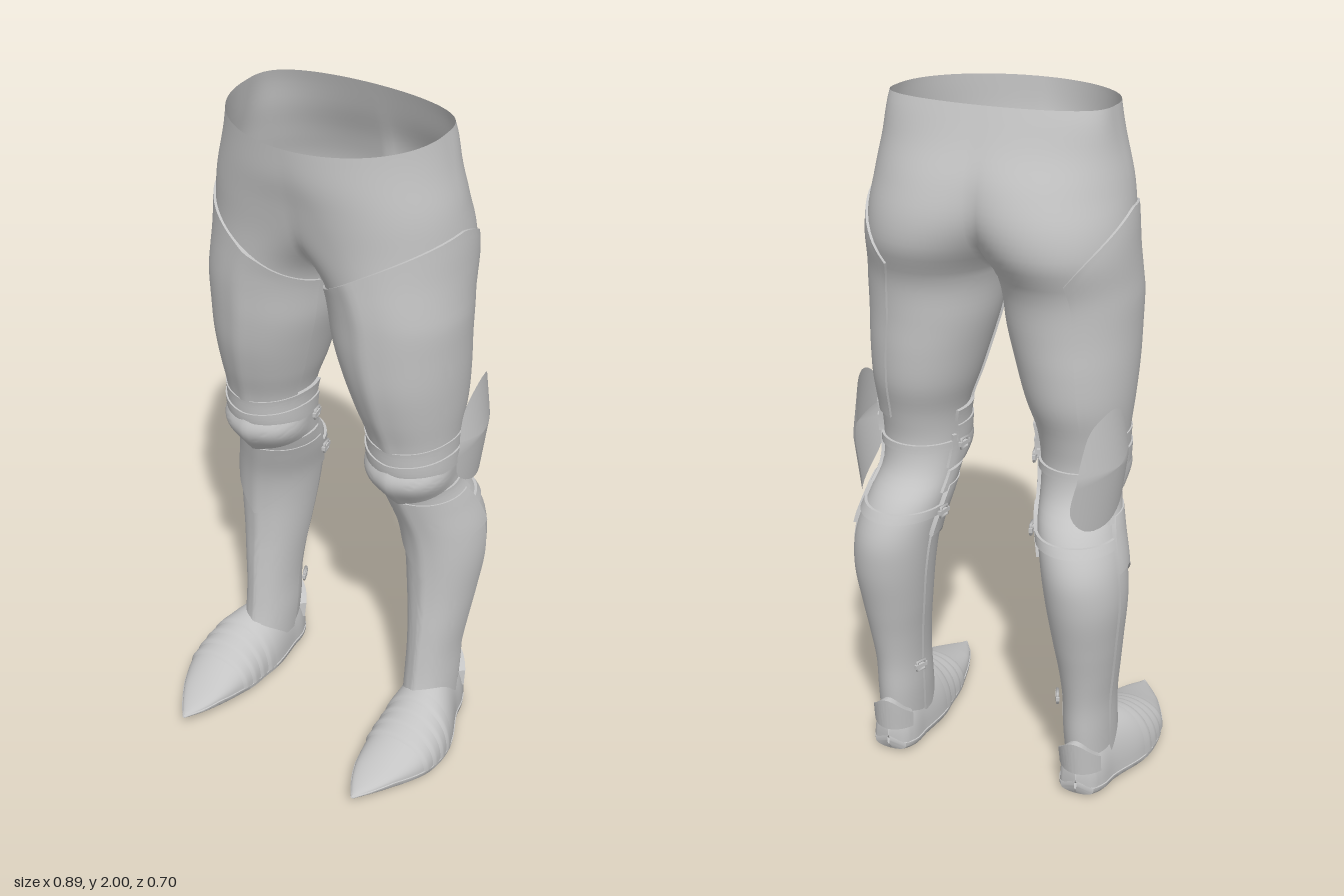
import * as THREE from 'three';
import { toCreasedNormals } from 'three/addons/utils/BufferGeometryUtils.js';

// y, centre x, radius x, front z, back z of one half of the hips and leg
const LEG = [
  [2, 0, .305, .21, -.22], [1.9, .03, .295, .2, -.255], [1.8, .08, .27, .18, -.295],
  [1.7, .125, .24, .163, -.318], [1.62, .16, .21, .155, -.312], [1.57, .178, .195, .152, -.29],
  [1.53, .188, .188, .15, -.272], [1.5, .193, .186, .148, -.264], [1.4, .2, .178, .14, -.257],
  [1.3, .213, .163, .126, -.255], [1.2, .225, .145, .1, -.245], [1.1, .237, .123, .068, -.215],
  [1, .24, .115, .052, -.2], [.92, .242, .108, .01, -.22], [.85, .257, .112, -.014, -.28],
  [.75, .282, .114, -.042, -.324], [.65, .294, .111, -.054, -.325], [.5, .297, .094, -.054, -.295],
  [.4, .298, .081, -.046, -.272], [.3, .297, .071, -.037, -.255], [.2, .297, .07, -.026, -.25],
  [.08, .3, .066, 0, -.24],
];
// z, centre x, half width, top y, sole y of the foot
const FOOT = [
  [-.258, .3, .001, .08, .03], [-.25, .3, .035, .11, .012], [-.22, .3, .06, .16, .002],
  [-.14, .305, .078, .2, 0], [-.03, .322, .108, .19, 0], [.03, .33, .111, .165, .001],
  [.1, .331, .109, .137, .005], [.15, .33, .1, .116, .012], [.22, .322, .076, .088, .02],
  [.29, .314, .041, .063, .031], [.347, .31, .002, .044, .038],
];
const interpolate = (rows) => {
  const sorted = [...rows].sort((a, b) => a[0] - b[0]);
  const it = new THREE.CubicInterpolant(sorted.map(r => r[0]), sorted.flatMap(r => r.slice(1)), 4);
  return k => [...it.evaluate(k)];
};
const legAt = interpolate(LEG), footAt = interpolate(FOOT);
const { clamp, lerp, smoothstep } = THREE.MathUtils, HALF = Math.PI / 2;

// Point on the leg: t = 0 outer side, PI/2 front, PI inner side, -PI/2 back
function legPoint(y, t, off = 0) {
  const [cx, rx, zf, zb] = legAt(y);
  const c = Math.cos(t), s = Math.sin(t), waist = smoothstep(y, 1.75, 2);
  const x = Math.max(0, cx + (rx + off) * c);
  // The waist is flatter at the back; the belly is full between the hips
  const cz = (zf + zb) / 2 - .045 * waist;
  const power = s < 0 ? 1 - .45 * waist : c < 0 ? 1 - .7 * smoothstep(y, 1.55, 1.75) : 1;
  const z = cz + (s > 0 ? zf - cz + off : zb - cz - off) * Math.pow(Math.abs(s), power);
  return [x, y - (z + .22) * .045 * smoothstep(y, 1.8, 2), z];
}

// Surface over a grid of u, v in 0..1
function grid(nu, nv, fn) {
  const pos = [], idx = [], w = nu + 1;
  for (let j = 0; j <= nv; j++) for (let i = 0; i <= nu; i++) pos.push(...fn(i / nu, j / nv, i, j));
  for (let j = 0; j < nv; j++) for (let i = 0; i < nu; i++) {
    const a = j * w + i, d = a + w;
    idx.push(a, a + 1, d, a + 1, d + 1, d);
  }
  const g = new THREE.BufferGeometry();
  g.setAttribute('position', new THREE.Float32BufferAttribute(pos, 3));
  g.setIndex(idx);
  g.computeVertexNormals();
  return g;
}

// Plate following the leg, its outer border turned in to form an edge
function plate(t0, t1, top, bottom, off, nu = 40, nv = 16) {
  const g = grid(nu, nv, (_u, _v, i, j) => {
    const u = clamp((i - 1) / (nu - 2), 0, 1), v = clamp((j - 1) / (nv - 2), 0, 1);
    const t = lerp(t0, t1, u), y = lerp(top(t), bottom(t), v);
    const edge = i === 0 || j === 0 || i === nu || j === nv;
    return legPoint(y, t, edge ? -.003 : off(t, v));
  });
  return toCreasedNormals(g, .7);
}

// Half of the hips flowing into one leg; the section closes at the crotch
function bodyGeometry() {
  const nu = 48, nv = 90;
  const g = grid(nu, nv, (u, v) => {
    const y = 2 - 1.92 * v, [cx, rx] = legAt(y);
    const limit = y > 1.53 ? Math.PI - Math.acos(clamp(cx / rx, 0, 1)) : Math.PI;
    const p = legPoint(y, (2 * u - 1) * limit);
    if (y > 1.53 && (u === 0 || u === 1)) p[0] = 0;
    return p;
  });
  // Smooth the seam down the inside of the leg and the middle of the hips
  const n = g.attributes.normal, a = new THREE.Vector3(), b = new THREE.Vector3();
  for (let j = 0; j <= nv; j++) {
    const p = j * (nu + 1), q = p + nu;
    a.fromBufferAttribute(n, p); b.fromBufferAttribute(n, q);
    if (2 - 1.92 * j / nv > 1.53) { a.setX(0).normalize(); b.setX(0).normalize(); }
    else { a.add(b).normalize(); b.copy(a); }
    n.setXYZ(p, a.x, a.y, a.z); n.setXYZ(q, b.x, b.y, b.z);
  }
  return g;
}

const rimHeight = (top, sole) => Math.min(sole + .03, (top + sole) / 2);
// Domed foot cover between two z positions
function footCover(z0, z1, nv, off) {
  return grid(28, nv, (u, v) => {
    const z = lerp(z0, z1, v), [xc, hw, top, sole] = footAt(z);
    const a = Math.PI * u, o = off(v), b = rimHeight(top, sole);
    return [xc + (hw + o) * Math.cos(a), b + (top + o - b) * Math.pow(Math.max(0, Math.sin(a)), .85), z];
  });
}
function soleGeometry() {
  return toCreasedNormals(grid(32, 40, (u, v) => {
    const z = lerp(-.258, .347, v), [xc, hw, top, sole] = footAt(z);
    const b = rimHeight(top, sole), a = u * Math.PI * 2, s = Math.sin(a);
    const y = s > 0 ? b + .005 * s : b - (b - sole) * Math.sqrt(-s);
    return [xc + (hw + .003) * Math.cos(a), y, z];
  }), .7);
}

// Two-lobed wing on the outer side of the knee, curled round to the back
function wingGeometry() {
  const outline = new THREE.CatmullRomCurve3([
    [-.09, 1.08], [-.125, 1.18], [-.205, 1.222], [-.29, 1.195], [-.33, 1.12],
    [-.35, 1.04], [-.35, .96], [-.3, .9], [-.2, .898], [-.1, .96],
  ].map(([z, y]) => new THREE.Vector3(0, y, z)), true);
  const mid = new THREE.Vector3(0, 1.06, -.2);
  return grid(48, 10, (u, v) => {
    const p = mid.clone().lerp(outline.getPoint(u % 1), Math.max(v, .001));
    return [.391 - 2.2 * (p.z + .17) ** 2 - .13 * Math.abs(p.y - 1.06), p.y, p.z];
  });
}

function mirrored(geometry) {
  const g = geometry.index ? geometry.toNonIndexed() : geometry.clone();
  g.scale(-1, 1, 1);
  for (const name of ['position', 'normal']) {
    const arr = g.attributes[name].array;
    for (let i = 0; i < arr.length; i += 9) for (let k = 0; k < 3; k++)
      [arr[i + 3 + k], arr[i + 6 + k]] = [arr[i + 6 + k], arr[i + 3 + k]];
  }
  return g;
}

export function createModel() {
  const steel = new THREE.MeshStandardMaterial({ color: 0xc4c4c4, side: THREE.DoubleSide });
  steel.name = 'light grey';
  const parts = [], add = (name, geometry) => parts.push([name, geometry]);
  const flat = y => () => y;
  const ridge = t => Math.exp(-(((t - HALF) / .14) ** 2));
  const front = t => Math.max(0, 1 - Math.abs(t - HALF) / 1.3);

  add('hipAndLeg', bodyGeometry());

  // Thigh plate with a top edge sloping to the crotch and to the back
  const thighTop = t => t > 0 ? 1.738 - .21 * (1 - Math.cos(t)) / 1.92
    : 1.738 - .17 * Math.pow(-t / 1.2, 1.3);
  add('thighPlate', plate(-1.2, 2.75, thighTop, flat(1.09), t => .007 + .006 * ridge(t), 48, 30));

  // Knee bands and cup
  add('upperKneeBand', plate(-.5, 3.5, t => 1.105 - .015 * front(t), t => 1.05 - .015 * front(t), () => .011));
  add('lowerKneeBand', plate(-.5, 3.5, t => 1.06 - .015 * front(t), t => 1.01 - .015 * front(t), () => .016));
  add('kneeCup', plate(-.5, 3.6, t => 1.03 - .01 * front(t), t => .935 - .045 * front(t),
    (t, v) => .01 + (.024 * Math.sin(Math.PI * v) + .012 * v + .006 * ridge(t)) * Math.max(0, Math.sin(t))));
  add('kneeWing', wingGeometry());

  // Lower leg plates
  add('greaveBand', plate(-.4, 3.5, flat(.925), t => .87 - .02 * front(t), () => .01));
  add('shinPlate', plate(-.25, 3.35, flat(.885), t => .745 - .155 * front(t), t => .014 + .004 * ridge(t)));
  add('greave', plate(-.2, 3.3, flat(.84), flat(.1), t => .007 + .004 * ridge(t), 40, 30));
  add('heelPlate', plate(-2.4, -.74, t => .125 + .065 * Math.max(0, -Math.sin(t)) ** 4, flat(.085), () => .021));

  // Straps and buckles behind the knee and calf
  for (const [y, t, half, out] of [[1, -2.95, .012, .02], [.82, -2.95, .013, .02], [.29, -2.75, .01, .016]]) {
    if (y > .5) add('strap', plate(-3, .1, flat(y + half), flat(y - half), () => .008, 32, 6));
    const p = legPoint(y, t, out);
    const frame = new THREE.TorusGeometry(.02, .005, 6, 4).rotateZ(Math.PI / 4);
    const pin = new THREE.BoxGeometry(.045, .012, .01);
    for (const [name, g] of [['buckle', frame], ['bucklePin', pin]])
      add(name, g.rotateY(HALF - t).translate(...p));
  }

  // Pointed foot with overlapping bands
  add('footCover', footCover(-.258, .347, 50, () => 0));
  add('sole', soleGeometry());
  for (let k = 0; k < 4; k++) {
    const z = -.02 + .04 * k;
    add('footBand', footCover(z, z + .042, 4, v => v === 1 ? -.001 : .001 + .005 * v));
  }

  const model = new THREE.Group();
  model.name = 'legArmour';
  for (const side of ['left', 'right']) {
    const group = new THREE.Group();
    group.name = side + 'Side';
    for (const [name, geometry] of parts) {
      const mesh = new THREE.Mesh(side === 'left' ? geometry : mirrored(geometry), steel);
      mesh.name = name;
      group.add(mesh);
    }
    model.add(group);
  }
  return model;
}
